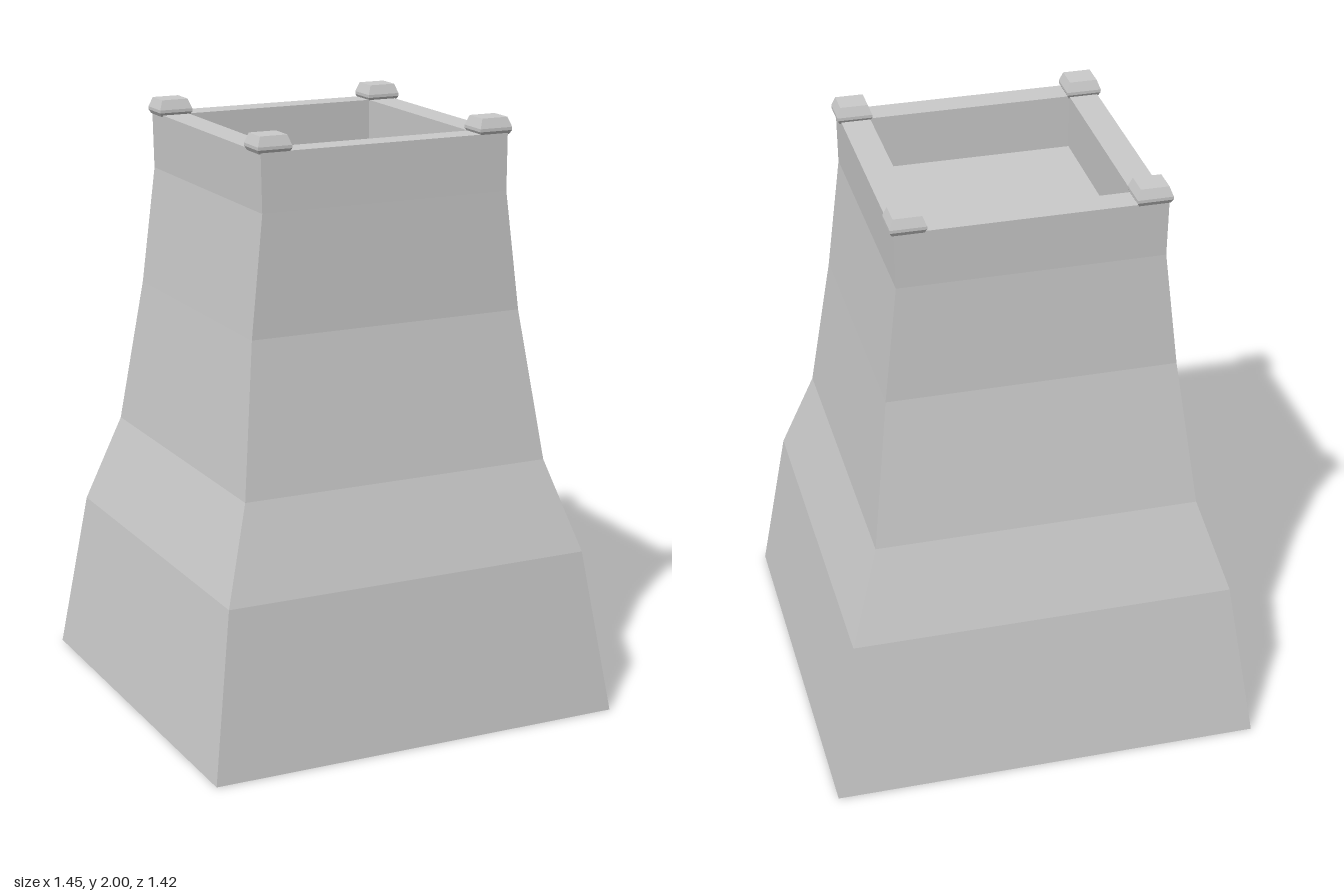
import * as THREE from 'three';

const material = new THREE.MeshStandardMaterial({ color: 0xcccccc, flatShading: true });

// Closed loft through rectangular rings [y, x0, x1, z0, z1], listed from the base on
function loft(name, rings) {
  const corners = rings.map(([y, x0, x1, z0, z1]) =>
    [[x1, y, z1], [x1, y, z0], [x0, y, z0], [x0, y, z1]]);
  const pos = [];
  const quad = (a, b, c, d) => pos.push(...a, ...b, ...c, ...a, ...c, ...d);
  for (let r = 0; r < corners.length - 1; r++) {
    const a = corners[r], b = corners[r + 1];
    for (let i = 0; i < 4; i++) {
      const j = (i + 1) % 4;
      quad(a[i], a[j], b[j], b[i]);
    }
  }
  const first = corners[0], last = corners[corners.length - 1];
  quad(first[3], first[2], first[1], first[0]);
  quad(last[0], last[1], last[2], last[3]);
  const geometry = new THREE.BufferGeometry();
  geometry.setAttribute('position', new THREE.Float32BufferAttribute(pos, 3));
  geometry.computeVertexNormals();
  const mesh = new THREE.Mesh(geometry, material);
  mesh.name = name;
  return mesh;
}

export function createModel() {
  const group = new THREE.Group();
  group.name = 'tower';

  // Flared walls, flat rim, then down the inside to the sunken roof floor
  group.add(loft('towerBody', [
    [0, -0.723, 0.723, -0.708, 0.708],
    [0.555, -0.643, 0.64, -0.631, 0.636],
    [0.865, -0.543, 0.538, -0.535, 0.542],
    [1.365, -0.48, 0.476, -0.457, 0.462],
    [1.76, -0.435, 0.431, -0.442, 0.448],
    [1.95, -0.437, 0.435, -0.447, 0.443],
    [1.95, -0.342, 0.338, -0.358, 0.354],
    [1.765, -0.342, 0.338, -0.358, 0.354],
  ]));

  // Bevelled cap block on each corner of the rim: [y, half width x, half width z]
  const capProfile = [
    [1.945, 0.051, 0.046],
    [1.958, 0.058, 0.053],
    [1.968, 0.058, 0.053],
    [2.0, 0.046, 0.042],
  ];
  for (const sx of [-1, 1]) {
    for (const sz of [-1, 1]) {
      const cap = loft('cornerCap', capProfile.map(([y, w, d]) => [y, -w, w, -d, d]));
      cap.position.set(sx * 0.39, 0, sz * 0.398 - 0.003);
      group.add(cap);
    }
  }
  return group;
}
